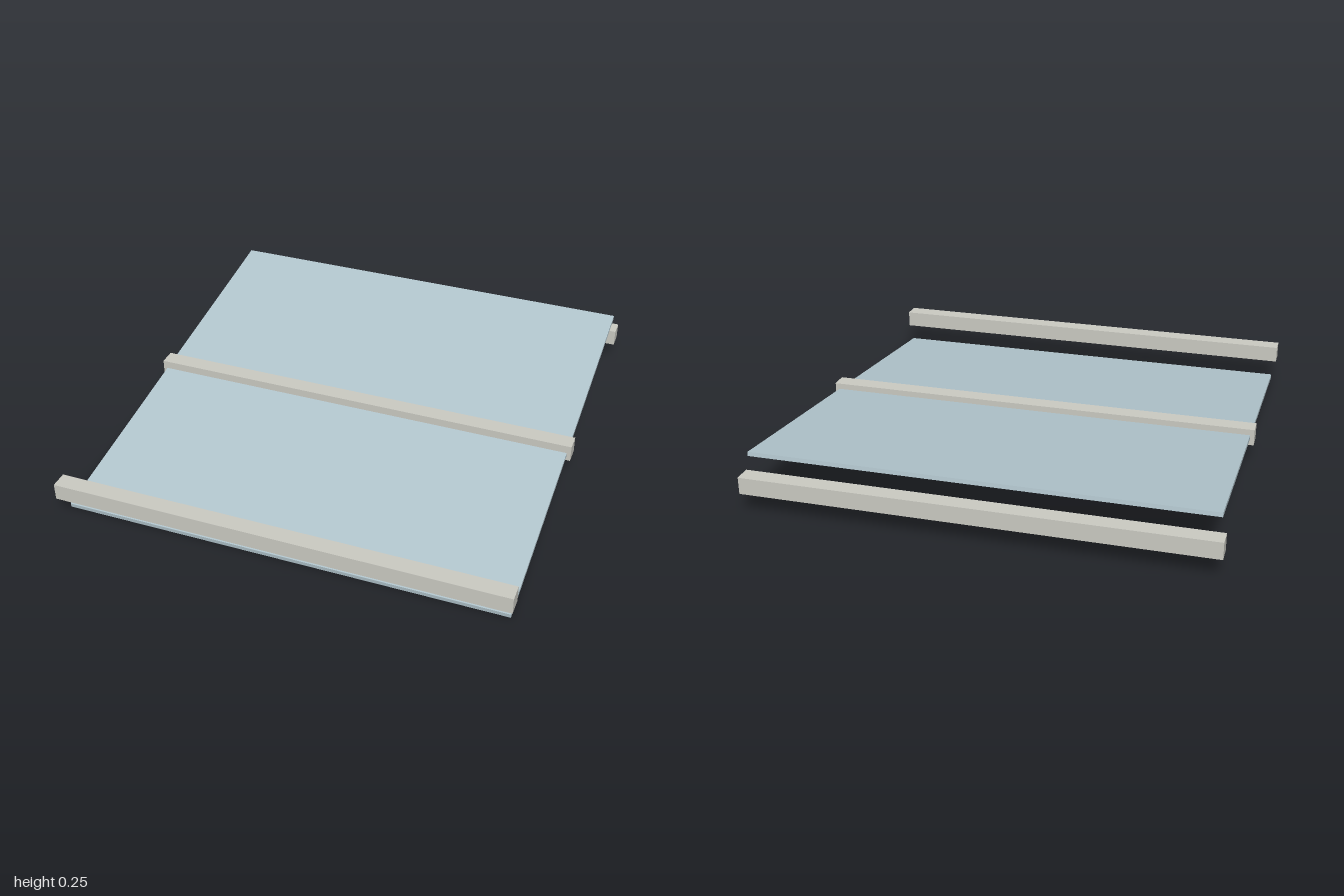
import * as THREE from 'three';

export function createModel() {
  const model = new THREE.Group();
  const paleBlue = new THREE.MeshStandardMaterial({ color: 0xb4c8d0 });
  paleBlue.name = 'paleBlue';
  const warmGrey = new THREE.MeshStandardMaterial({ color: 0xccccc4 });
  warmGrey.name = 'warmGrey';

  const addBox = (name, size, y, z, material) => {
    const mesh = new THREE.Mesh(new THREE.BoxGeometry(...size), material);
    mesh.name = name;
    mesh.position.set(0, y, z);
    model.add(mesh);
    return mesh;
  };

  // Thin panel tilted about the middle rail, front edge down
  const panel = addBox('tiltedPanel', [1.88, 0.018, 1.88], 0.1235, 0, paleBlue);
  panel.rotation.x = THREE.MathUtils.degToRad(7);

  // Three square rails running side to side
  const rails = { frontRail: 0.964, middleRail: 0, backRail: -0.964 };
  for (const [name, z] of Object.entries(rails)) {
    addBox(name, [1.915, 0.072, 0.072], 0.127, z, warmGrey);
  }
  return model;
}
